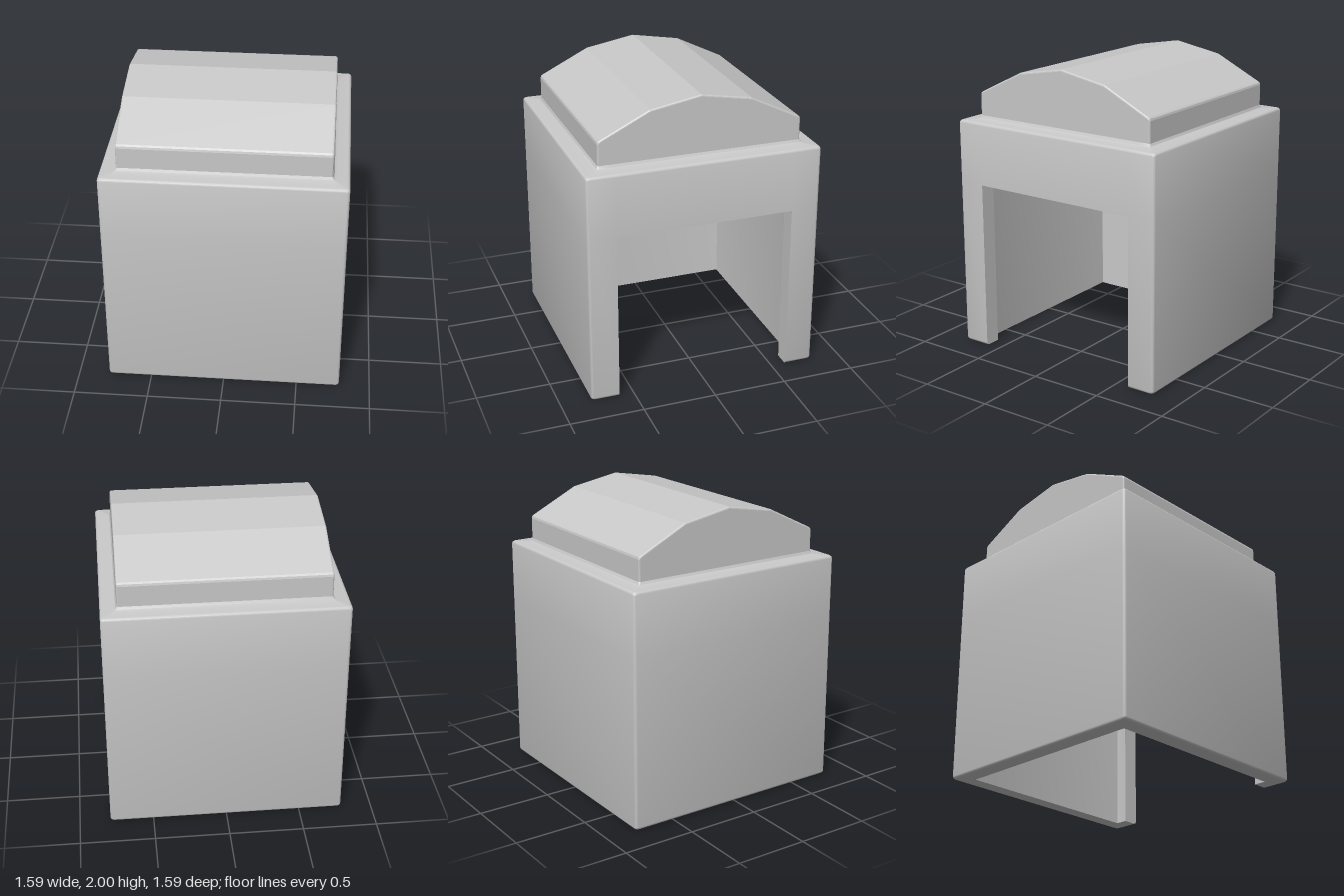
import * as THREE from 'three';
import { toCreasedNormals } from 'three/addons/utils/BufferGeometryUtils.js';

const HALF = 0.793, INNER = 0.68, ROOF = 0.685;   // half widths
const DOOR_Z = 0.6, DOOR_Y = 1.16, CEILING = 1.42, EAVE = 1.59;
const R = 0.02;                                    // edge rounding

// Rounded square plan at height y, running from one door jamb round to the other
function ring([h, y, r = R]) {
  const pts = [new THREE.Vector3(h, y, DOOR_Z)];
  for (let c = 0; c < 4; c++) {
    const sx = c === 0 || c === 3 ? 1 : -1, sz = c < 2 ? 1 : -1;
    for (let i = 0; i <= 3; i++) {
      const a = (c + i / 3) * Math.PI / 2;
      pts.push(new THREE.Vector3(sx * (h - r) + r * Math.cos(a), y, sz * (h - r) + r * Math.sin(a)));
    }
  }
  pts.push(new THREE.Vector3(h, y, -DOOR_Z));
  return pts;
}

// Skin through the profile; spans lying below the lintel leave the doorway open
function shell(profile) {
  const rings = profile.map(ring), pos = [];
  for (let k = 0; k < rings.length - 1; k++) {
    const a = rings[k], b = rings[k + 1], n = a.length;
    const closed = Math.min(profile[k][1], profile[k + 1][1]) >= DOOR_Y;
    for (let i = 0; i < (closed ? n : n - 1); i++) {
      const j = (i + 1) % n;
      for (const p of [a[i], b[i], b[j], a[i], b[j], a[j]]) pos.push(p.x, p.y, p.z);
    }
  }
  const g = new THREE.BufferGeometry();
  g.setAttribute('position', new THREE.Float32BufferAttribute(pos, 3));
  return toCreasedNormals(g, 0.6);
}

// Quarter-round profile from a bottom or top edge
const bevel = (y, dir) => [0, 1, 2, 3].map(i => {
  const a = i / 3 * Math.PI / 2;
  return [HALF - R + R * (dir > 0 ? Math.sin(a) : Math.cos(a)),
    y + dir * R * (1 - (dir > 0 ? Math.cos(a) : Math.sin(a)))];
});

export function createModel() {
  const group = new THREE.Group();
  const stone = new THREE.MeshStandardMaterial({ color: 0xc8c8c8, side: THREE.DoubleSide });
  stone.name = 'pale grey';
  const add = (name, geometry) => {
    const mesh = new THREE.Mesh(geometry, stone);
    mesh.name = name;
    group.add(mesh);
    return mesh;
  };

  // Walls: inside face, bottom rim, outside face, ledge and small cove under the roof
  const rim = bevel(0, 1);
  add('walls', shell([
    [INNER, CEILING, 0.001], [INNER, DOOR_Y, 0.001], [INNER, 0, 0.001],
    ...rim, [HALF, DOOR_Y], ...bevel(EAVE, -1),
    [ROOF + 0.025, EAVE, 0.01], [ROOF + 0.008, EAVE + 0.008, 0.01], [ROOF, EAVE + 0.025, 0.01],
  ]));

  // Door jambs
  const jamb = new THREE.Shape([[INNER, DOOR_Y], [INNER, 0], ...rim, [HALF, DOOR_Y]]
    .map(([x, y]) => new THREE.Vector2(x, y)));
  for (const s of [1, -1]) {
    const mesh = add(s > 0 ? 'frontJamb' : 'backJamb', new THREE.ShapeGeometry(jamb));
    if (s > 0) mesh.geometry.scale(1, 1, -1).setIndex([...mesh.geometry.index.array].reverse());
    mesh.geometry.computeVertexNormals();
    mesh.position.z = s * DOOR_Z;
  }

  // Underside of the lintel and the ceiling
  add('lintelUnderside', new THREE.PlaneGeometry(HALF - INNER, 2 * DOOR_Z).rotateX(Math.PI / 2))
    .position.set((HALF + INNER) / 2, DOOR_Y, 0);
  add('ceiling', new THREE.PlaneGeometry(2 * INNER, 2 * INNER).rotateX(Math.PI / 2))
    .position.y = CEILING;

  // Faceted roof block, its gable profile extruded across the width
  const b = 0.012;
  const half = [[ROOF, EAVE - 0.01], [ROOF, 1.755], [ROOF - 0.004, 1.769], [ROOF - 0.015, 1.778], [0.34, 1.94]];
  const profile = [...half, [0, 2], ...half.slice().reverse().map(([z, y]) => [-z, y])];
  const roof = new THREE.ExtrudeGeometry(new THREE.Shape(profile.map(([z, y]) => new THREE.Vector2(z, y))), {
    depth: 2 * (ROOF - b), bevelEnabled: true, bevelThickness: b, bevelSize: b, bevelOffset: -b, bevelSegments: 3,
  });
  roof.translate(0, 0, -(ROOF - b)).rotateY(Math.PI / 2);
  add('roof', roof);

  return group;
}
